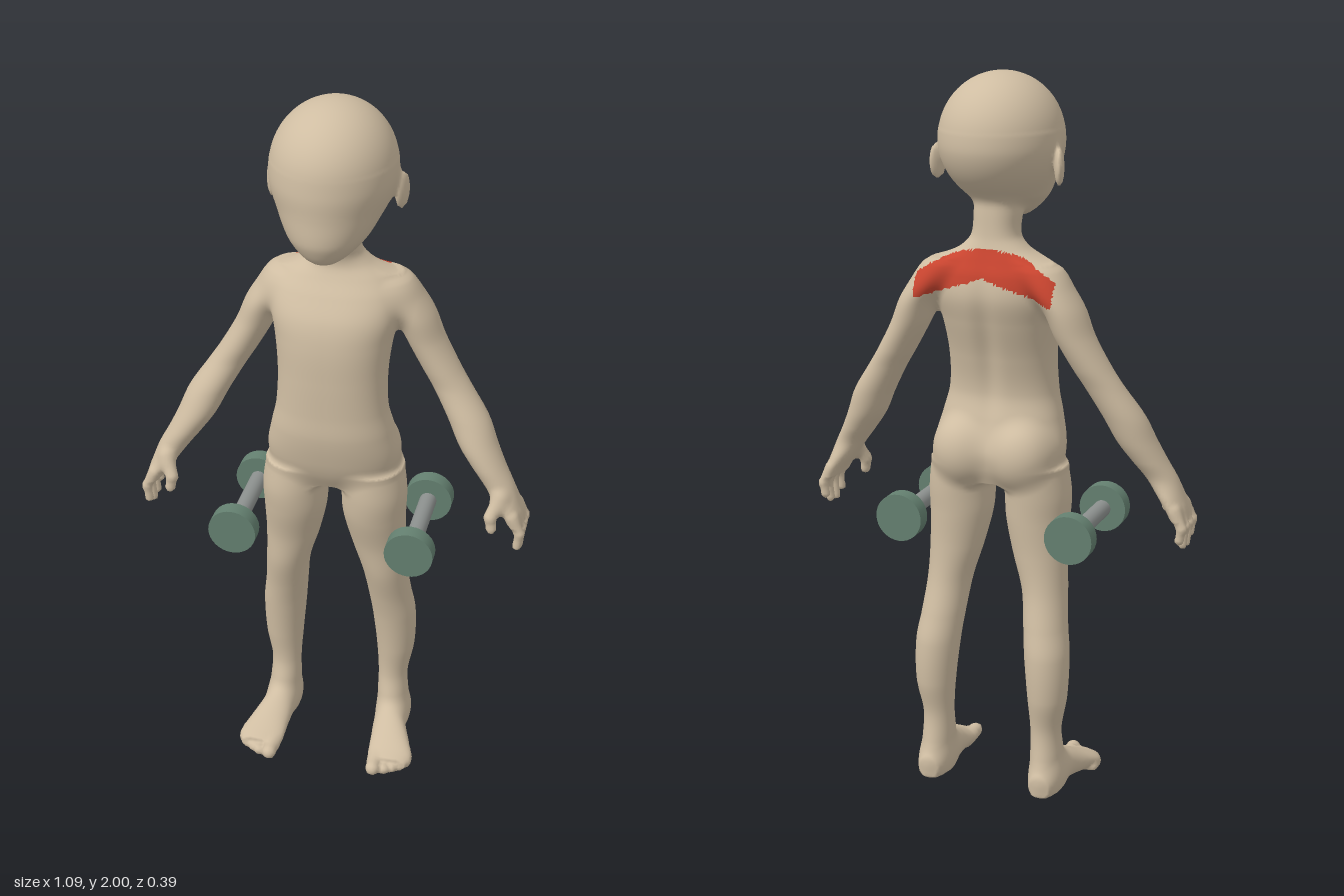
import * as THREE from 'three';

const mat = (name, color) => Object.assign(new THREE.MeshStandardMaterial({ color }), { name });

// Distance-like field of a stack of oval sections [t, centreA, radiusA, highB, lowB]
function loft(rows, n = 2) {
  const last = rows.length - 1;
  const slope = (i, k) => {
    const a = rows[Math.max(i - 1, 0)], b = rows[Math.min(i + 1, last)];
    return (b[k] - a[k]) / (b[0] - a[0]);
  };
  const slopes = rows.map((r, i) => r.map((_, k) => slope(i, k)));
  return (t, a, b) => {
    const c = Math.min(Math.max(t, rows[0][0]), rows[last][0]);
    let i = 0;
    while (i < last - 1 && c > rows[i + 1][0]) i++;
    const p = rows[i], q = rows[i + 1], w = q[0] - p[0], s = (c - p[0]) / w;
    const h = s * s * (3 - 2 * s), m0 = s * (1 - s) * (1 - s) * w, m1 = s * s * (s - 1) * w;
    const v = (k) => p[k] + (q[k] - p[k]) * h + slopes[i][k] * m0 + slopes[i + 1][k] * m1;
    const ra = v(2), hi = v(3), lo = v(4), rb = (hi - lo) / 2;
    const u = Math.abs(a - v(1)) / ra, e = Math.abs(b - (hi + lo) / 2) / rb;
    const k = n === 2 ? Math.hypot(u, e) : Math.pow(u ** n + e ** n, 1 / n);
    const d = (k - 1) * Math.min(ra, rb);
    return c === t ? d : Math.hypot(Math.max(d, 0), t - c);
  };
}

function ellipsoid(x, y, z, rx, ry, rz) {
  return (Math.sqrt((x / rx) ** 2 + (y / ry) ** 2 + (z / rz) ** 2) - 1) * Math.min(rx, ry, rz);
}

function capsule(x, y, z, a, b, r) {
  const dx = b[0] - a[0], dy = b[1] - a[1], dz = b[2] - a[2];
  let t = ((x - a[0]) * dx + (y - a[1]) * dy + (z - a[2]) * dz) / (dx * dx + dy * dy + dz * dz);
  t = Math.min(Math.max(t, 0), 1);
  return Math.hypot(x - a[0] - dx * t, y - a[1] - dy * t, z - a[2] - dz * t) - r;
}

// Smooth union
function blend(a, b, k) {
  const h = Math.max(k - Math.abs(a - b), 0) / k;
  return Math.min(a, b) - h * h * k * 0.25;
}

const torso = loft([
  [0.90, 0, 0.10, 0.06, -0.105], [0.95, 0, 0.17, 0.088, -0.125], [1.0, 0, 0.184, 0.105, -0.13],
  [1.08, 0, 0.168, 0.12, -0.105], [1.15, 0, 0.152, 0.12, -0.088], [1.25, 0, 0.148, 0.12, -0.105],
  [1.35, 0, 0.158, 0.116, -0.135], [1.42, 0, 0.172, 0.1, -0.152], [1.48, 0, 0.168, 0.064, -0.145],
  [1.52, 0, 0.135, 0.034, -0.128], [1.55, 0, 0.09, 0.018, -0.115], [1.58, 0, 0.065, 0.02, -0.106],
  [1.64, 0, 0.062, 0.045, -0.1], [1.7, 0, 0.06, 0.05, -0.095]], 2.3);
const jaw = loft([
  [1.613, 0, 0.035, 0.14, 0.06], [1.625, 0, 0.055, 0.158, 0.02], [1.65, 0, 0.084, 0.175, -0.03],
  [1.68, 0, 0.11, 0.186, -0.09], [1.74, 0, 0.14, 0.187, -0.152], [1.8, 0, 0.157, 0.186, -0.184],
  [1.85, 0, 0.155, 0.17, -0.18]]);
const leg = loft([
  [0.02, 0.168, 0.042, -0.01, -0.148], [0.06, 0.168, 0.045, -0.005, -0.154],
  [0.12, 0.165, 0.045, -0.012, -0.138], [0.2, 0.163, 0.043, -0.03, -0.13],
  [0.3, 0.168, 0.055, -0.022, -0.148], [0.42, 0.163, 0.062, -0.006, -0.149],
  [0.5, 0.153, 0.061, 0.01, -0.132], [0.6, 0.141, 0.063, 0.036, -0.11],
  [0.7, 0.124, 0.076, 0.05, -0.105], [0.8, 0.113, 0.088, 0.075, -0.11],
  [0.87, 0.112, 0.091, 0.084, -0.115], [0.95, 0.105, 0.088, 0.08, -0.12]]);
const foot = loft([
  [-0.145, 0.168, 0.028, 0.07, 0.012], [-0.09, 0.168, 0.043, 0.11, 0.001], [0, 0.172, 0.048, 0.108, 0.004],
  [0.06, 0.185, 0.058, 0.08, 0.002], [0.11, 0.195, 0.065, 0.055, 0.001], [0.145, 0.193, 0.055, 0.042, 0.002]]);
const arm = loft([
  [0.845, 0.51, 0.022, 0.062, -0.058], [0.87, 0.502, 0.028, 0.066, -0.062], [0.9, 0.486, 0.034, 0.06, -0.058],
  [0.95, 0.458, 0.042, 0.046, -0.05], [1.0, 0.425, 0.048, 0.042, -0.068], [1.05, 0.395, 0.054, 0.034, -0.085],
  [1.12, 0.362, 0.057, 0.015, -0.1], [1.2, 0.312, 0.053, -0.008, -0.114], [1.25, 0.28, 0.052, -0.01, -0.128],
  [1.33, 0.235, 0.052, -0.008, -0.145], [1.4, 0.205, 0.053, 0, -0.154], [1.45, 0.17, 0.058, 0, -0.152],
  [1.5, 0.135, 0.06, -0.01, -0.135], [1.515, 0.12, 0.05, -0.03, -0.12]]);

// Finger rows: knuckle z, tip z, tip y.  Toe rows: x, tip z, radius
const fingers = [[0.048, 0.052, 0.785], [0.018, 0.017, 0.768], [-0.013, -0.017, 0.772], [-0.043, -0.048, 0.792]];
const toes = [[0.156, 0.172, 0.021], [0.188, 0.162, 0.016], [0.209, 0.15, 0.015], [0.228, 0.136, 0.015], [0.245, 0.118, 0.014]];

// The whole figure as one smooth field, mirrored in x
function figure(px, y, z) {
  const x = Math.abs(px);
  let d = torso(y, x, z);
  if (z < 0) d += 0.014 * Math.exp(-((x / 0.03) ** 2) - ((y - 1.28) / 0.17) ** 2); // spine groove
  if (y > 1.5) {
    let head = ellipsoid(x, y - 1.83, z + 0.004, 0.163, 0.17, 0.189);
    head = blend(head, jaw(y, x, z), 0.015);
    const ex = x - 0.171, ez = z + 0.033;
    head = blend(head, ellipsoid(0.95 * ex + 0.31 * ez, y - 1.762, 0.95 * ez - 0.31 * ex, 0.013, 0.05, 0.032), 0.012);
    d = blend(d, head, 0.025);
  }
  if (y < 1.2) {
    d = blend(d, leg(y, x, z), 0.03);
    d = blend(d, ellipsoid(x - 0.083, y - 0.985, z + 0.074, 0.085, 0.095, 0.077), 0.02);
  }
  if (y < 0.3) {
    let f = foot(z, x, y);
    for (const [tx, tz, r] of toes) f = blend(f, capsule(x, y, z, [tx, r, 0.09], [tx, r, tz], r), 0.008);
    d = blend(d, f, 0.025);
  }
  if (y > 0.7) {
    let a = arm(y, x, z);
    if (y < 1.05 && x > 0.35) {
      for (const [z0, z1, tip] of fingers) {
        const mid = [0.529, 0.825, z1];
        a = blend(a, capsule(x, y, z, [0.508, 0.872, z0], mid, 0.0145), 0.01);
        a = blend(a, capsule(x, y, z, mid, [0.524, tip, z1], 0.013), 0.006);
      }
      a = blend(a, capsule(x, y, z, [0.468, 0.925, 0.04], [0.449, 0.875, 0.066], 0.018), 0.02);
      a = blend(a, capsule(x, y, z, [0.449, 0.875, 0.066], [0.454, 0.842, 0.07], 0.015), 0.006);
    }
    d = blend(d, a, 0.03);
  }
  return d;
}

// Names the body part that a surface point belongs to
function partAt(x, y, z) {
  const ax = Math.abs(x), side = x > 0 ? 'left' : 'right';
  const top = 1.55 - 1.9 * ax * ax, low = 1.478 - 0.34 * ax;
  if (z < -0.085 && ax < 0.195 && y < top && y > low) return 'upperBackMuscle';
  if (y > 1.61) return 'head';
  if (y > 0.7 && ax > 0.17 + Math.max(0, 1.4 - y) * 0.35) return side + 'Arm';
  return y < 0.9 ? side + 'Leg' : 'torso';
}

// Surface nets: one vertex per crossed cell, one quad per crossed edge
function polygonise(field, min, dims, h) {
  const [nx, ny, nz] = dims, step = [1, nx, nx * ny];
  const values = new Float32Array(nx * ny * nz), cell = new Int32Array(nx * ny * nz).fill(-1);
  const pos = [], normal = [], parts = {};
  const each = (lo, fn) => {
    for (let k = lo; k < nz - 1; k++) for (let j = lo; j < ny - 1; j++) for (let i = lo; i < nx - 1; i++) fn(i, j, k, i + j * step[1] + k * step[2]);
  };
  for (let k = 0, n = 0; k < nz; k++) for (let j = 0; j < ny; j++) for (let i = 0; i < nx; i++) {
    values[n++] = field(min[0] + i * h, min[1] + j * h, min[2] + k * h);
  }
  each(0, (i, j, k, n) => {
    const sum = [0, 0, 0];
    let count = 0;
    for (let c = 0; c < 8; c++) for (let a = 0; a < 3; a++) {
      if (c >> a & 1) continue;
      const bits = [c & 1, c >> 1 & 1, c >> 2 & 1];
      const m = n + bits[0] + bits[1] * step[1] + bits[2] * step[2];
      const f0 = values[m], f1 = values[m + step[a]];
      if ((f0 < 0) === (f1 < 0)) continue;
      bits[a] = f0 / (f0 - f1);
      bits.forEach((b, q) => { sum[q] += b; });
      count++;
    }
    if (!count) return;
    cell[n] = pos.length / 3;
    const p = [i, j, k].map((g, q) => min[q] + (g + sum[q] / count) * h), e = 0.004;
    const g = new THREE.Vector3(
      field(p[0] + e, p[1], p[2]) - field(p[0] - e, p[1], p[2]),
      field(p[0], p[1] + e, p[2]) - field(p[0], p[1] - e, p[2]),
      field(p[0], p[1], p[2] + e) - field(p[0], p[1], p[2] - e)).normalize();
    pos.push(...p);
    normal.push(g.x, g.y, g.z);
  });
  each(1, (i, j, k, n) => {
    for (let a = 0; a < 3; a++) {
      const inside = values[n] < 0;
      if (inside === (values[n + step[a]] < 0)) continue;
      const u = step[(a + 1) % 3], v = step[(a + 2) % 3];
      const q = [cell[n - u - v], cell[n - v], cell[n], cell[n - u]];
      if (!inside) q.reverse();
      for (const t of [[q[0], q[1], q[2]], [q[0], q[2], q[3]]]) {
        const mid = [0, 1, 2].map((c) => (pos[t[0] * 3 + c] + pos[t[1] * 3 + c] + pos[t[2] * 3 + c]) / 3);
        (parts[partAt(...mid)] ??= []).push(...t);
      }
    }
  });
  const position = new THREE.Float32BufferAttribute(pos, 3), normals = new THREE.Float32BufferAttribute(normal, 3);
  return Object.entries(parts).map(([name, index]) => {
    const geo = new THREE.BufferGeometry();
    geo.setAttribute('position', position);
    geo.setAttribute('normal', normals);
    geo.setIndex(index);
    return [name, geo];
  });
}

export function createModel() {
  const model = new THREE.Group();
  const skin = mat('skin', 0xcfbda2), red = mat('muscleRed', 0xc8442f);
  const green = mat('weightGreen', 0x648070), grey = mat('barGrey', 0x8c908e);
  const add = (parent, name, geo, material) => {
    const mesh = new THREE.Mesh(geo, material);
    mesh.name = name;
    parent.add(mesh);
    return mesh;
  };

  // Body, cut into named parts
  const h = 0.009;
  for (const [name, geo] of polygonise(figure, [-0.567, -0.02, -0.215], [127, 228, 48], h)) {
    add(model, name, geo, name === 'upperBackMuscle' ? red : skin);
  }

  // Dumbbells beside the thighs
  for (const s of [1, -1]) {
    const bell = new THREE.Group();
    bell.name = s > 0 ? 'leftDumbbell' : 'rightDumbbell';
    bell.position.set(s * 0.247, 0.79, 0.011);
    add(bell, 'bar', new THREE.CylinderGeometry(0.024, 0.024, 0.28, 24).rotateX(Math.PI / 2), grey);
    for (const e of [1, -1]) {
      add(bell, e > 0 ? 'frontWeight' : 'backWeight',
        new THREE.CylinderGeometry(0.067, 0.067, 0.044, 32).rotateX(Math.PI / 2), green).position.z = e * 0.142;
    }
    model.add(bell);
  }
  return model;
}
